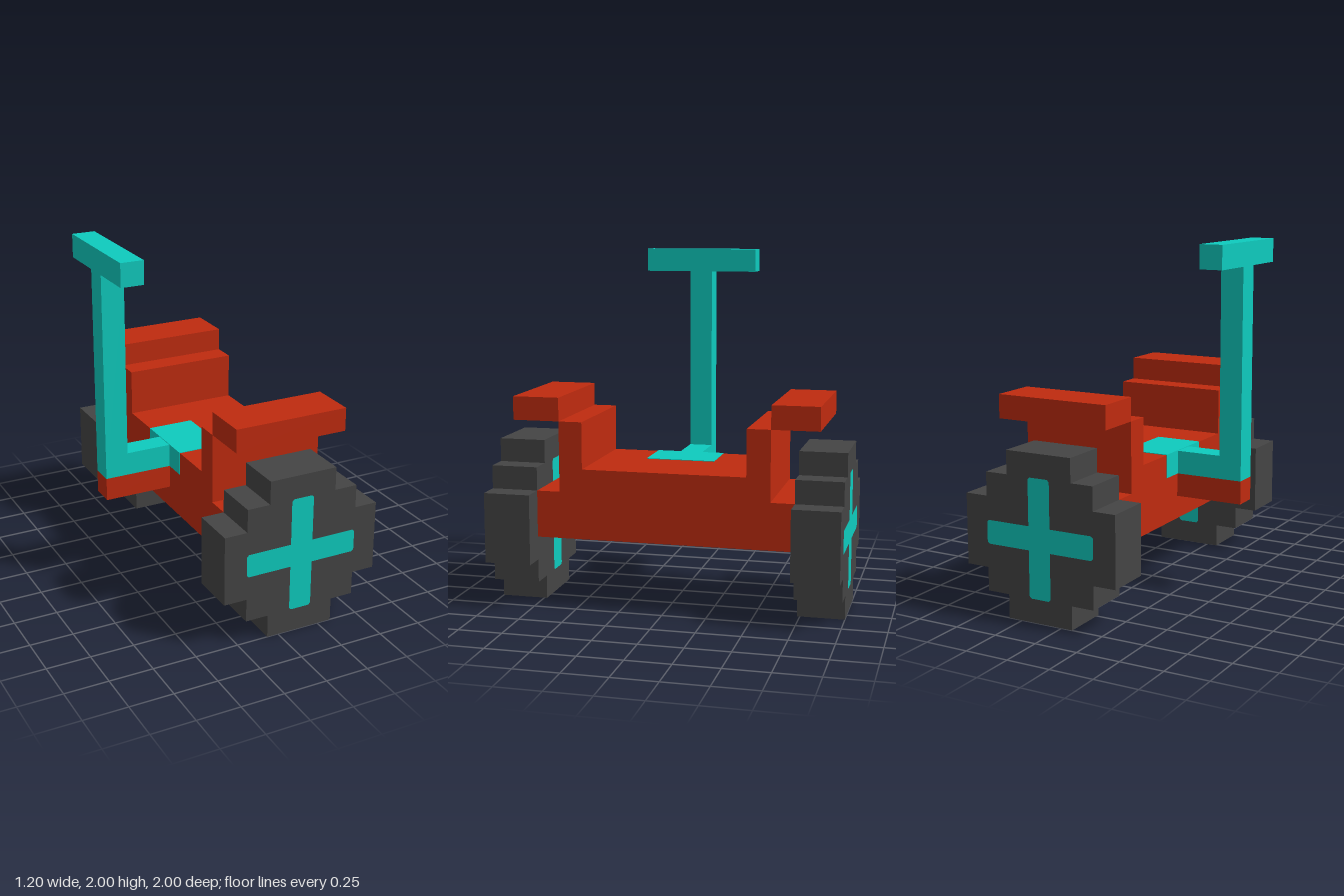
import * as THREE from 'three';

const U = 2 / 15; // one block

const red = new THREE.MeshStandardMaterial({ color: 0xbf2b0f });
red.name = 'red paint';
const teal = new THREE.MeshStandardMaterial({ color: 0x0ecbbe });
teal.name = 'teal trim';
const grey = new THREE.MeshStandardMaterial({ color: 0x444444 });
grey.name = 'dark grey rubber';

export function createModel() {
  const group = new THREE.Group();

  const add = (name, geometry, material) => {
    const mesh = new THREE.Mesh(geometry, material);
    mesh.name = name;
    group.add(mesh);
    return mesh;
  };

  // Box from its minimum and maximum corners, in blocks
  const box = (name, material, [x0, y0, z0], [x1, y1, z1]) => {
    const g = new THREE.BoxGeometry(x1 - x0, y1 - y0, z1 - z0);
    g.translate((x0 + x1) / 2, (y0 + y1) / 2, (z0 + z1) / 2);
    return add(name, g.scale(U, U, U), material);
  };

  // Outline from one quarter's points, turned four times about the hub
  const quartered = (quarter) => {
    const points = [];
    for (let i = 0; i < 4; i++) {
      for (const [x, y] of quarter) {
        points.push(new THREE.Vector2(x, y).rotateAround(new THREE.Vector2(), i * Math.PI / 2));
      }
    }
    return points;
  };

  const extrude = (shape, depth) => new THREE.ExtrudeGeometry(shape, { depth, bevelEnabled: false });

  // Wheels: stepped tyre with a cross let in flush on both faces
  const tyreOutline = quartered([[3.5, -1.5], [3.5, 1.5], [2.5, 1.5], [2.5, 2.5], [1.5, 2.5]]);
  const c = 0.09;
  const crossOutline = quartered([[2.5 - c, -0.5], [2.5, -0.5 + c], [2.5, 0.5 - c], [2.5 - c, 0.5], [0.5, 0.5]]);
  const tyreShape = new THREE.Shape(tyreOutline);
  tyreShape.holes.push(new THREE.Path(crossOutline));
  const crossShape = new THREE.Shape(crossOutline);
  for (const [side, z] of [['front', 5.5], ['rear', -7.5]]) {
    add(side + 'Tyre', extrude(tyreShape, 2).translate(1, 3.5, z).scale(U, U, U), grey);
    add(side + 'WheelCross', extrude(crossShape, 2).translate(1, 3.5, z).scale(U, U, U), teal);
  }

  // Body: stepped tub with an upright at each end
  const half = [[5.5, 3], [5.5, 5], [4.5, 5], [4.5, 8], [3.5, 8], [3.5, 6]];
  const profile = [...half, ...half.map(([z, y]) => [-z, y]).reverse()];
  const bodyShape = new THREE.Shape(profile.map(([z, y]) => new THREE.Vector2(z, y)));
  add('body', extrude(bodyShape, 5).rotateY(Math.PI / 2).translate(-1.5, 0, 0).scale(U, U, U), red);

  // Fenders over the wheels
  box('frontFender', red, [-1.5, 8, 4.5], [3.5, 9, 6.5]);
  box('rearFender', red, [-1.5, 8, -6.5], [3.5, 9, -4.5]);

  // Bracket, arm, column and handlebar
  box('steeringBracket', red, [-4.5, 4, -0.5], [-1.5, 5, 0.5]);
  box('steeringArm', teal, [-3.5, 5, -0.5], [-1.5, 6, 0.5]);
  box('steeringColumn', teal, [-4.5, 5, -0.5], [-3.5, 14, 0.5]);
  box('handlebar', teal, [-4.5, 14, -2.5], [-3.5, 15, 2.5]);

  // Footplate wrapped over the edge of the body
  const t = 0.025;
  box('footplateTop', teal, [-1.5 - t, 6, -1.5], [0.5, 6 + t, 1.5]);
  box('footplateEdge', teal, [-1.5 - t, 5, -1.5], [-1.5, 6, 1.5]);

  return group;
}
